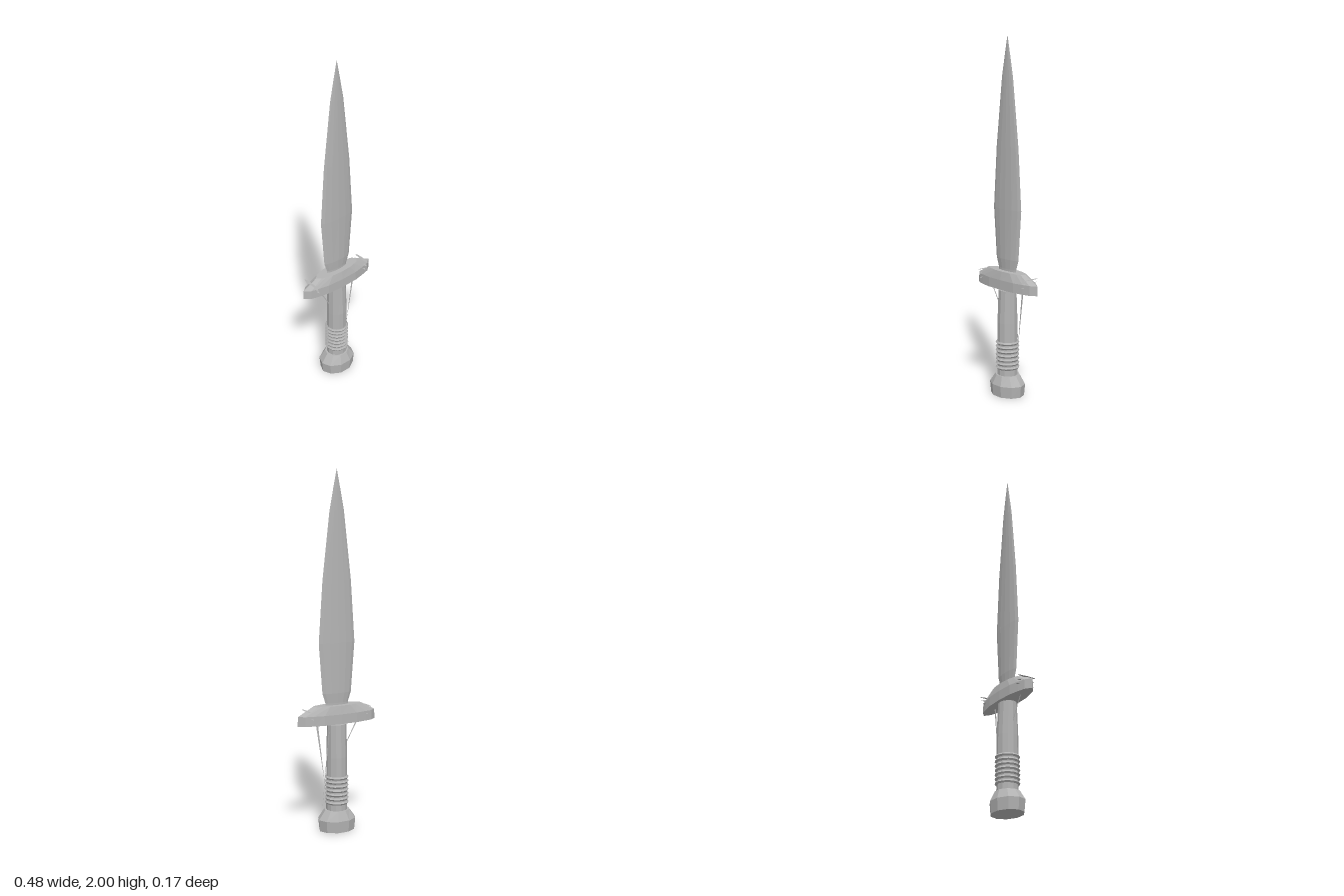
import * as THREE from 'three';

const steel = new THREE.MeshStandardMaterial({ color: 0xb4b4b4, flatShading: true, side: THREE.DoubleSide });
steel.name = 'grey steel';

// Mirrors a quarter outline (from the +x end to the +z side) into a closed ring
function fullOutline(quarter) {
  const half = [...quarter, ...quarter.slice(0, -1).reverse().map(([x, z]) => [-x, z])];
  return [...half, ...half.slice(1, -1).reverse().map(([x, z]) => [x, -z])];
}

function polygon(n) {
  return Array.from({ length: n }, (_, i) => {
    const a = (i / n) * Math.PI * 2;
    return [Math.cos(a), Math.sin(a)];
  });
}

// Skins an outline through levels of [y, x scale, z scale] and caps both ends
function loft(name, outline, levels) {
  const n = outline.length;
  const pos = [];
  const index = [];
  levels.forEach(([y, sx, sz]) => outline.forEach(([x, z]) => pos.push(x * sx, y, z * sz)));
  for (let l = 0; l < levels.length - 1; l++) {
    for (let i = 0; i < n; i++) {
      const a = l * n + i;
      const b = l * n + ((i + 1) % n);
      index.push(a, a + n, b, b, a + n, b + n);
    }
  }
  const top = (levels.length - 1) * n;
  for (let i = 1; i < n - 1; i++) {
    index.push(0, i, i + 1, top, top + i + 1, top + i);
  }
  const geometry = new THREE.BufferGeometry();
  geometry.setAttribute('position', new THREE.Float32BufferAttribute(pos, 3));
  geometry.setIndex(index);
  geometry.computeVertexNormals();
  const mesh = new THREE.Mesh(geometry, steel);
  mesh.name = name;
  return mesh;
}

// A single thin triangle
function sliver(name, ...corners) {
  const geometry = new THREE.BufferGeometry();
  geometry.setAttribute('position', new THREE.Float32BufferAttribute(corners.flat(), 3));
  geometry.computeVertexNormals();
  const mesh = new THREE.Mesh(geometry, steel);
  mesh.name = name;
  return mesh;
}

export function createModel() {
  const model = new THREE.Group();
  model.name = 'dagger';

  // Leaf-shaped blade with a lens cross-section
  const lens = fullOutline([[1, 0], [0.82, 0.45], [0.45, 0.85], [0, 1]]);
  model.add(loft('blade', lens, [
    [0.7, 0.07, 0.014], [0.725, 0.07, 0.014], [0.78, 0.089, 0.018], [1.06, 0.111, 0.019],
    [1.4, 0.088, 0.014], [1.78, 0.044, 0.008], [1.9, 0.021, 0.005], [2, 0.0005, 0.0005],
  ]));

  // Pointed crossguard, bevelled towards the blade
  const boat = fullOutline([[0.242, 0], [0.208, 0.027], [0.165, 0.038], [0.1, 0.051], [0, 0.055]]);
  model.add(loft('guard', boat, [[0.613, 1, 1], [0.667, 0.99, 0.98], [0.714, 0.62, 0.8]]));

  // Flat leaf-shaped spikes across each end of the guard
  const leaf = new THREE.Shape([[0, 0.057], [0.006, 0.042], [0.009, 0], [0.006, -0.042],
    [0, -0.057], [-0.006, -0.042], [-0.009, 0], [-0.006, 0.042]].map(([x, y]) => new THREE.Vector2(x, y)));
  const leafGeometry = new THREE.ShapeGeometry(leaf).rotateX(-Math.PI / 2);
  for (const side of [-1, 1]) {
    for (let i = 0; i < 3; i++) {
      const spike = new THREE.Mesh(leafGeometry, steel);
      spike.name = 'guardSpike';
      spike.position.set(side * (0.17 + i * 0.009), 0.652 + i * 0.021, 0);
      model.add(spike);
    }
  }

  // Faceted grip
  model.add(loft('grip', polygon(12), [
    [0.1, 0.06, 0.057], [0.42, 0.058, 0.057], [0.605, 0.056, 0.048],
  ]));

  // Binding rings round the lower grip
  const ringGeometry = new THREE.TorusGeometry(0.058, 0.009, 5, 14).rotateX(Math.PI / 2);
  for (let i = 0; i < 7; i++) {
    const ring = new THREE.Mesh(ringGeometry, steel);
    ring.name = 'gripRing';
    ring.position.y = 0.16 + i * 0.024;
    model.add(ring);
  }

  // Oval pommel
  model.add(loft('pommel', polygon(10), [
    [0, 0.105, 0.083], [0.065, 0.112, 0.088], [0.117, 0.072, 0.066],
  ]));

  // Thin cords beside the grip
  model.add(
    sliver('leftCord', [0.117, 0.613, 0], [0.13, 0.613, 0], [0.078, 0.27, -0.006]),
    sliver('rightCord', [-0.132, 0.613, 0], [-0.124, 0.613, 0], [0.05, 0.3, -0.006]),
    sliver('lowerCord', [0.054, 0.58, -0.018], [0.062, 0.52, -0.012], [0.095, 0.1, -0.003]),
  );

  return model;
}
